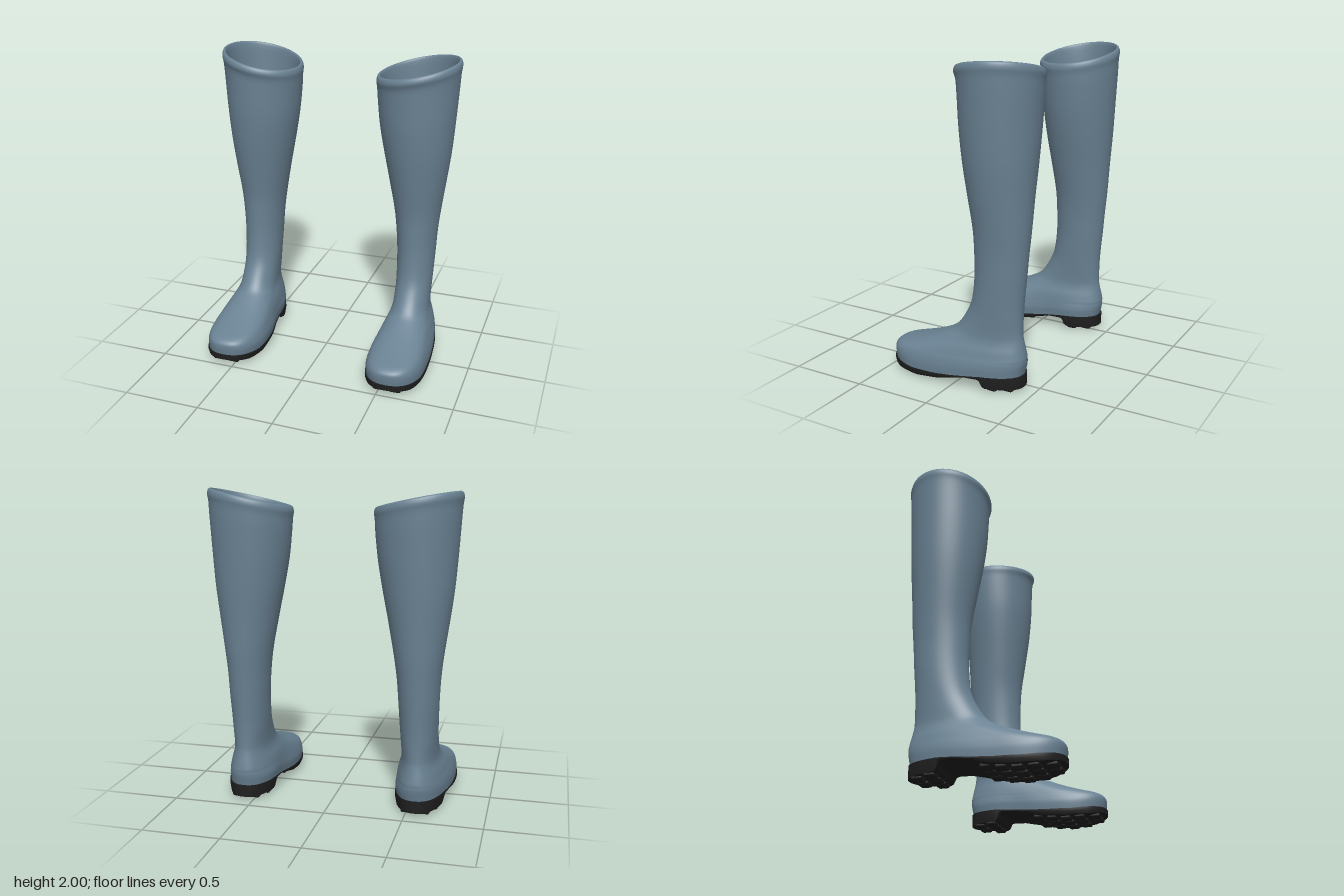
import * as THREE from 'three';
import { toCreasedNormals } from 'three/addons/utils/BufferGeometryUtils.js';
import { RoundedBoxGeometry } from 'three/addons/geometries/RoundedBoxGeometry.js';

const { lerp, smoothstep } = THREE.MathUtils;

// Boot cross-sections: height, front z, back z, z of widest point, inner x, outer x, squareness
const SECTIONS = [
  [0.07, 0.49, -0.415, 0.18, 0.372, 0.748, 2.4],
  [0.12, 0.497, -0.425, 0.18, 0.368, 0.75, 2.4],
  [0.155, 0.492, -0.43, 0.17, 0.375, 0.745, 2.4],
  [0.18, 0.46, -0.43, 0.15, 0.383, 0.738, 2.4],
  [0.2, 0.4, -0.43, 0.12, 0.39, 0.73, 2.4],
  [0.25, 0.24, -0.422, 0, 0.41, 0.71, 2.3],
  [0.3, 0.12, -0.412, -0.08, 0.43, 0.688, 2.2],
  [0.35, 0.04, -0.405, -0.14, 0.44, 0.677, 2.1],
  [0.45, -0.03, -0.405, -0.2, 0.44, 0.675, 2.1],
  [0.55, -0.07, -0.41, -0.23, 0.435, 0.678, 2],
  [0.7, -0.088, -0.423, -0.255, 0.428, 0.683, 2],
  [0.85, -0.088, -0.435, -0.26, 0.417, 0.69, 2],
  [1.0, -0.08, -0.448, -0.265, 0.397, 0.705, 2],
  [1.2, -0.05, -0.46, -0.255, 0.36, 0.732, 2],
  [1.4, -0.02, -0.475, -0.25, 0.322, 0.758, 2],
  [1.6, 0, -0.487, -0.245, 0.29, 0.775, 2],
  [1.78, 0.007, -0.497, -0.245, 0.272, 0.787, 2],
];
const RIM = [
  [1.87, 0.012, -0.5, -0.24, 0.266, 0.793, 2],
  [1.915, 0.026, -0.505, -0.24, 0.261, 0.799, 2],
  [1.945, 0.014, -0.495, -0.24, 0.271, 0.79, 2],
  [1.93, -0.004, -0.477, -0.24, 0.289, 0.772, 2],
];
const WALL = 0.026;

// Straight-line lookup in a list of [z, y] pairs
function lookup(pairs, z) {
  const i = Math.max(1, pairs.findIndex(p => p[0] >= z));
  const [a, b] = [pairs[i - 1], pairs[i]];
  return lerp(a[1], b[1], THREE.MathUtils.clamp((z - a[0]) / (b[0] - a[0]), 0, 1));
}
const soleTop = z => lookup([[-0.43, 0.1], [-0.2, 0.095], [-0.1, 0.085], [0, 0.073], [0.12, 0.062], [0.3, 0.058], [0.52, 0.08]], z);
const soleBottom = z => lookup([[-0.43, 0.022], [-0.215, 0.022], [-0.19, 0.075], [-0.1, 0.074], [0, 0.055],
  [0.1, 0.032], [0.25, 0.018], [0.4, 0.025], [0.52, 0.048]], z);

// The foot is drawn in at the arch on its inner side
const archPinch = z => 1 - 0.13 * Math.exp(-(((z + 0.08) / 0.14) ** 2));

// Smooth curve through the sections
function smoothRows(rows, steps) {
  const out = [];
  for (let i = 0; i < rows.length - 1; i++) {
    const [p, a, b, q] = [rows[Math.max(i - 1, 0)], rows[i], rows[i + 1], rows[Math.min(i + 2, rows.length - 1)]];
    for (let s = 0; s < steps; s++) {
      const t = s / steps;
      out.push(a.map((v, k) => 0.5 * (2 * v + (b[k] - p[k]) * t + (2 * p[k] - 5 * v + 4 * b[k] - q[k]) * t * t
        + (3 * v - p[k] - 3 * b[k] + q[k]) * t ** 3)));
    }
  }
  out.push(rows[rows.length - 1]);
  return out;
}

// Mirror a geometry for the right boot, keeping faces outward
function forSide(geo, side) {
  if (side > 0) return geo;
  const p = geo.attributes.position, ix = geo.index;
  for (let i = 0; i < p.count; i++) p.setX(i, -p.getX(i));
  for (let i = 0; i < ix.count; i += 3) {
    const a = ix.getX(i);
    ix.setX(i, ix.getX(i + 1));
    ix.setX(i + 1, a);
  }
  return geo;
}

// Outer skin up to the rim, over it and down the lining
function upperGeometry(side) {
  const lining = SECTIONS.map(([y, f, b, m, i, o, e]) => [y, f - WALL, b + WALL, m, i + WALL, o - WALL, e]).reverse();
  const rows = smoothRows([...SECTIONS, ...RIM, ...lining], 4);
  const N = 56, pos = [], idx = [];
  rows.forEach(([y, front, back, mid, xIn, xOut, e], r) => {
    const foot = 1 - smoothstep(y, 0.08, 0.28);
    const slant = smoothstep(y, 1.2, 1.95);
    for (let i = 0; i < N; i++) {
      const t = (i / N) * Math.PI * 2, c = Math.cos(t), s = Math.sin(t);
      const nx = Math.sign(c) * Math.abs(c) ** (2 / e), nz = Math.sign(s) * Math.abs(s) ** (2 / e);
      const z = mid + nz * (nz > 0 ? front - mid : mid - back);
      const pinch = nx < 0 ? lerp(1, archPinch(z), foot) : 1;
      const x = (xIn + xOut) / 2 + nx * pinch * (xOut - xIn) / 2;
      pos.push(x, y + foot * (soleTop(z) - 0.075) + slant * (0.052 * nx - 0.02 * nz), z);
      if (r < rows.length - 1) {
        const a = r * N + i, b = r * N + (i + 1) % N;
        idx.push(a, a + N, b, b, a + N, b + N);
      }
    }
  });
  const geo = new THREE.BufferGeometry();
  geo.setAttribute('position', new THREE.Float32BufferAttribute(pos, 3));
  geo.setIndex(idx);
  forSide(geo, side).computeVertexNormals();
  return geo;
}

// Foot-shaped slab with arch and heel
function soleGeometry(side) {
  const geo = new THREE.BoxGeometry(2, 1, 1, 8, 2, 72);
  const p = geo.attributes.position;
  for (let i = 0; i < p.count; i++) {
    const u = p.getX(i), v = p.getY(i) + 0.5;
    const z = 0.038 + 0.462 * Math.sin(Math.PI * p.getZ(i));
    const d = Math.min(1, Math.abs(z - 0.18) / (z > 0.18 ? 0.32 : 0.604));
    const half = Math.max(0.02, 0.195 * (1 - d ** 2.4) ** (1 / 2.4)) * (u < 0 ? archPinch(z) : 1);
    const taper = v === 0 ? 0.95 : 1;
    p.setXYZ(i, 0.56 + u * half * taper, lerp(soleBottom(z), soleTop(z), v), z);
  }
  return toCreasedNormals(forSide(geo, side), 0.7);
}

export function createModel() {
  const rubber = new THREE.MeshStandardMaterial({ color: 0x6a8293 });
  rubber.name = 'blue grey rubber';
  const black = new THREE.MeshStandardMaterial({ color: 0x1f1f1f });
  black.name = 'black sole';

  const model = new THREE.Group();
  model.name = 'boots';
  const lugGeo = new RoundedBoxGeometry(0.085, 0.034, 0.07, 2, 0.014);

  for (const side of [1, -1]) {
    const boot = new THREE.Group();
    boot.name = side > 0 ? 'leftBoot' : 'rightBoot';
    const add = (name, geo, mat) => {
      const mesh = new THREE.Mesh(geo, mat);
      mesh.name = name;
      boot.add(mesh);
      return mesh;
    };
    add('upper', upperGeometry(side), rubber);
    add('sole', soleGeometry(side), black);

    // Tread lugs: z, number across, spacing
    for (const [z, count, gap] of [[0.43, 2, 0.1], [0.34, 3, 0.1], [0.25, 3, 0.11], [0.16, 3, 0.11], [0.07, 3, 0.1],
      [-0.26, 3, 0.09], [-0.35, 2, 0.1]]) {
      for (let k = 0; k < count; k++) {
        const lug = add('treadLug', lugGeo, black);
        lug.position.set(side * (0.56 + (k - (count - 1) / 2) * gap), soleBottom(z) - 0.001, z);
      }
    }
    model.add(boot);
  }
  return model;
}
